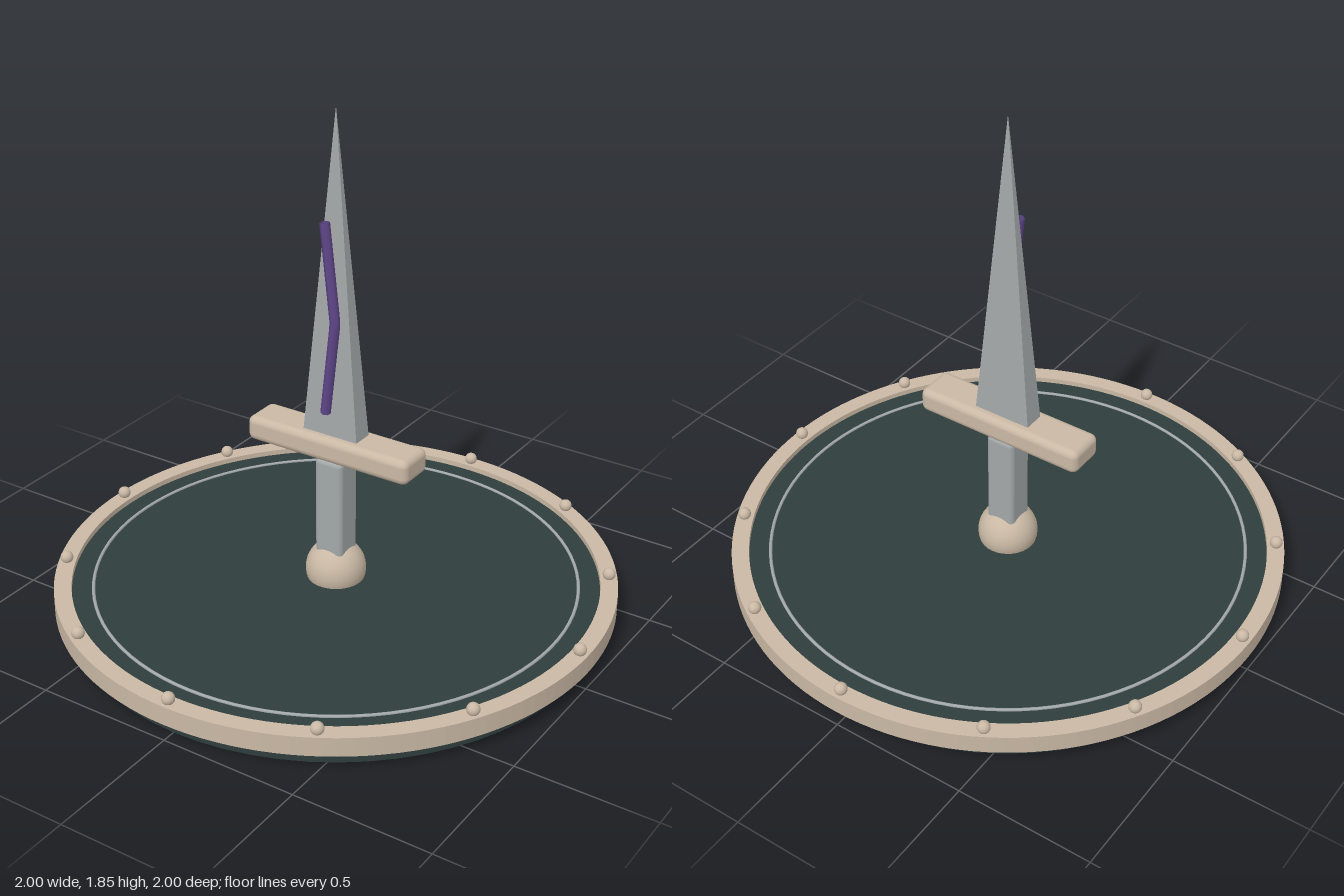
import * as THREE from 'three';
import { RoundedBoxGeometry } from 'three/addons/geometries/RoundedBoxGeometry.js';

const mat = (name, color, extra = {}) => {
  const m = new THREE.MeshStandardMaterial({ color, ...extra });
  m.name = name;
  return m;
};

export function createModel() {
  const model = new THREE.Group();
  model.name = 'swordOnShield';
  const bone = mat('bone', 0xc9b8a4);
  const steel = mat('steel', 0xa3a8a9);
  const darkTeal = mat('darkTeal', 0x2f3d3d);
  const purple = mat('purple', 0x5f4689, { side: THREE.DoubleSide });

  const add = (name, geometry, material, x = 0, y = 0, z = 0) => {
    const mesh = new THREE.Mesh(geometry, material);
    mesh.name = name;
    mesh.position.set(x, y, z);
    model.add(mesh);
    return mesh;
  };

  // Shield disc lying flat
  add('shieldDisc', new THREE.CylinderGeometry(0.95, 0.95, 0.11, 64), darkTeal, 0, 0.055, 0);

  // Raised rim: an extruded ring with square edges
  const ring = new THREE.Shape().absarc(0, 0, 1, 0, Math.PI * 2, false);
  ring.holes.push(new THREE.Path().absarc(0, 0, 0.938, 0, Math.PI * 2, true));
  const rim = new THREE.ExtrudeGeometry(ring, { depth: 0.07, bevelEnabled: false, curveSegments: 64 });
  rim.rotateX(-Math.PI / 2);
  add('rim', rim, bone, 0, 0.06, 0);

  // Thin inlaid ring
  const inlay = new THREE.TorusGeometry(0.862, 0.006, 8, 96);
  inlay.rotateX(Math.PI / 2);
  add('inlayRing', inlay, steel, 0, 0.112, 0);

  // Twelve rim studs
  const stud = new THREE.SphereGeometry(0.023, 16, 12);
  for (let i = 0; i < 12; i++) {
    const a = (i * Math.PI) / 6;
    add('rimStud', stud, bone, 0.97 * Math.cos(a), 0.145, 0.97 * Math.sin(a));
  }

  // Pommel, grip and crossguard
  add('pommel', new THREE.SphereGeometry(0.108, 32, 20), bone, 0, 0.142, 0);
  add('grip', new RoundedBoxGeometry(0.112, 0.41, 0.112, 3, 0.02), steel, 0, 0.385, 0);
  add('crossguard', new RoundedBoxGeometry(0.655, 0.092, 0.15, 3, 0.026), bone, 0, 0.637, 0);

  // Blade: a flattened four-sided spike
  const blade = new THREE.ConeGeometry(Math.SQRT2, 1.17, 4, 1).toNonIndexed();
  blade.rotateY(Math.PI / 4);
  blade.scale(0.109, 1, 0.039);
  blade.computeVertexNormals();
  add('blade', blade, steel, 0, 1.265, 0);

  // Bent rune line on the front of the blade
  const points = [[-0.02, 1.46, 0.037], [0.024, 1.11, 0.042], [-0.013, 0.77, 0.045]]
    .map((p) => new THREE.Vector3(...p));
  const path = new THREE.CurvePath();
  path.add(new THREE.LineCurve3(points[0], points[1]));
  path.add(new THREE.LineCurve3(points[1], points[2]));
  add('bladeRune', new THREE.TubeGeometry(path, 24, 0.018, 6, false), purple);

  return model;
}
